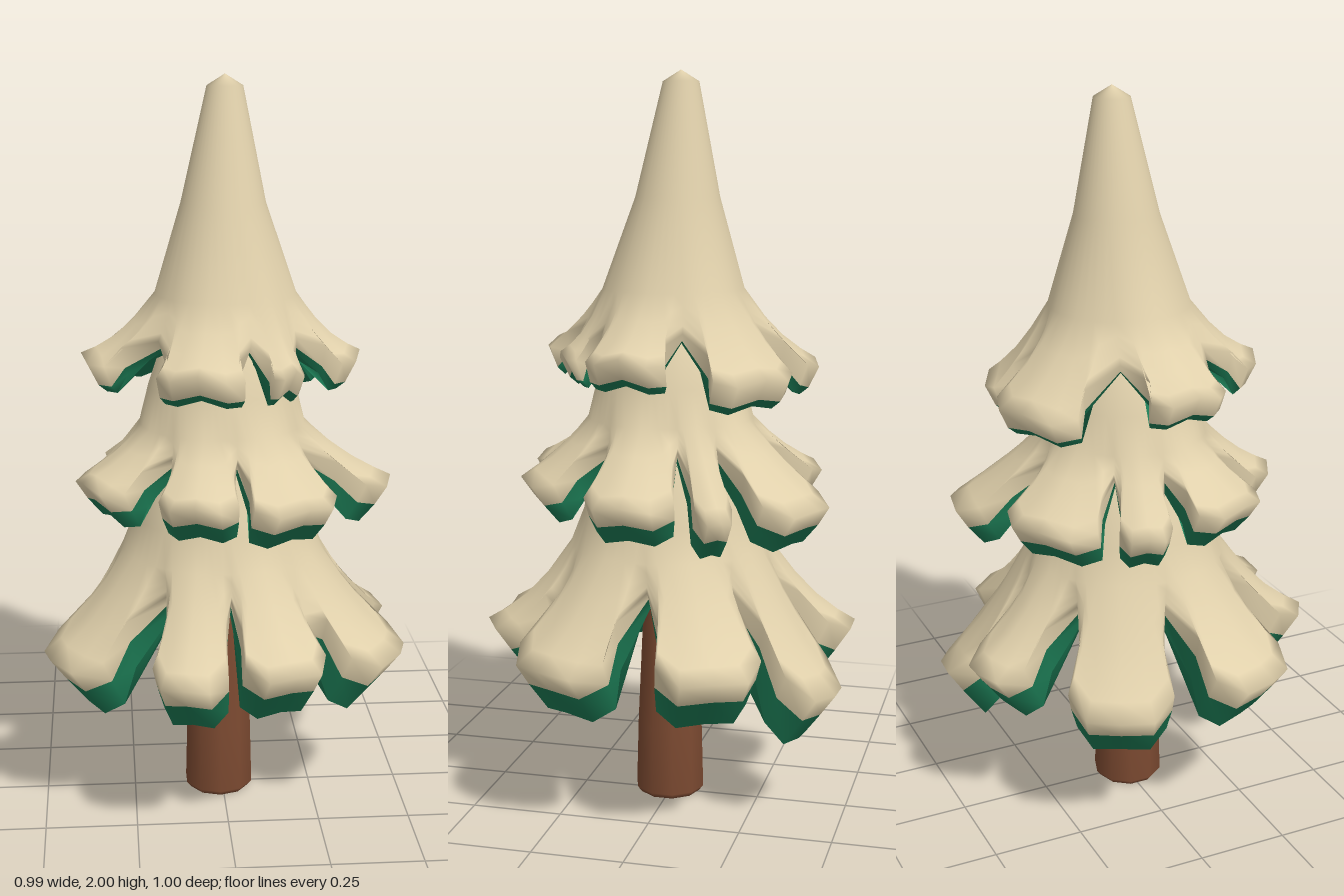
import * as THREE from 'three';

const snow = new THREE.MeshStandardMaterial({ name: 'snow', color: 0xe0d0ab });
const needles = new THREE.MeshStandardMaterial({ name: 'needle green', color: 0x1c7a54 });
const bark = new THREE.MeshStandardMaterial({ name: 'bark brown', color: 0x7c4a31 });
const rad = THREE.MathUtils.degToRad;
const polar = (r, a, y, x = 0, z = 0) => new THREE.Vector3(x + r * Math.cos(a), y, z + r * Math.sin(a));

// Closed skin through rings of points, ordered from top to bottom
function skin(name, rings, material) {
  const n = rings[0].length, index = [];
  for (let j = 0; j < rings.length - 1; j++) {
    for (let i = 0; i < n; i++) {
      const a = j * n + i, b = j * n + (i + 1) % n;
      index.push(a, b, a + n, b, b + n, a + n);
    }
  }
  const geometry = new THREE.BufferGeometry().setFromPoints(rings.flat());
  geometry.setIndex(index);
  geometry.computeVertexNormals();
  const mesh = new THREE.Mesh(geometry, material);
  mesh.name = name;
  return mesh;
}

// Half outline of a bough: [sideways share of width, share of reach]
const side = [[0.8, 0.35], [1, 0.66], [0.64, 0.92]];
const outline = [...side.map(([s, f]) => [-s, f]), [0, 1], ...side.map(([s, f]) => [s, f]).reverse()];

// One layer of boughs. neck: [r, y, x, z] rings; sag: hollow of the slope
// boughs: [angle, reach, tip y, half width, optional own [r, y] of the gap after it]
function makeTier(name, { neck, boughs, notch, inner, snowRim, greenRim, sag }) {
  const neckAngles = [], edge = [], snowEdge = [], greenEdge = [], share = [];
  const rn = notch[0], count = boughs.length;
  // Angle of the gap after bough i, nearer to the narrower bough
  const gapAfter = (i) => {
    const a = boughs[(i + count) % count], b = boughs[(i + 1) % count];
    const step = (b[0] - a[0] + 360) % 360;
    return rad(a[0] + step * (a[3] + 0.08) / (a[3] + b[3] + 0.16));
  };
  const last = neck[neck.length - 1];

  boughs.forEach(([deg, reach, tipY, width], i) => {
    const a = rad(deg), next = gapAfter(i);
    let start = gapAfter(i - 1);
    while (start > a) start -= Math.PI * 2;

    // Gap column, with a thinner rim
    const [gr, gy] = boughs[(i + count - 1) % count][4] ?? notch;
    neckAngles.push(start);
    share.push(0);
    edge.push(polar(gr, start, gy));
    snowEdge.push(polar(gr - snowRim[0] * 0.4, start, gy - snowRim[1] * 0.35));
    greenEdge.push(polar(gr - greenRim[0] * 0.4, start, gy - greenRim[1] * 0.35));

    outline.forEach(([s, f], k) => {
      neckAngles.push(THREE.MathUtils.lerp(start, next, (k + 1) / (outline.length + 1)));
      share.push(f);
      const r = rn + (reach - rn) * f;
      const slope = last[1] + (tipY - last[1]) * (r - last[0]) / (reach - last[0]);
      const y = slope - sag * Math.sin(Math.PI * f) - 0.035 * Math.abs(s);
      const at = (inset, drop, squeeze) => {
        const out = r - inset * f, lat = s * width * squeeze;
        return new THREE.Vector3(
          out * Math.cos(a) - lat * Math.sin(a), y - drop, out * Math.sin(a) + lat * Math.cos(a));
      };
      edge.push(at(0, 0, 1));
      snowEdge.push(at(...snowRim, 0.96));
      greenEdge.push(at(...greenRim, 0.86));
    });
  });

  const rings = neck.map(([r, y, x, z]) => neckAngles.map((a) => polar(r, a, y, x, z)));
  const base = rings[rings.length - 1];
  for (const t of [0.3, 0.55, 0.8, 1]) {
    rings.push(edge.map((p, i) => {
      const q = base[i].clone().lerp(p, t);
      q.y -= sag * share[i] * Math.sin(Math.PI * t);
      return q;
    }));
  }
  const innerRing = neckAngles.map((a) => polar(inner[0], a, inner[1]));
  const middle = greenEdge.map((p, i) => {
    const q = p.clone().lerp(innerRing[i], 0.5);
    q.y += 0.02;
    return q;
  });
  const tier = new THREE.Group();
  tier.name = name;
  tier.add(
    skin('snowCap', [...rings, snowEdge], snow),
    skin('greenRim', [snowEdge, greenEdge], needles),
    skin('greenUnderside', [greenEdge, middle, innerRing], needles));
  return tier;
}

export function createModel() {
  const tree = new THREE.Group();
  tree.name = 'snowyPine';

  // Tapered trunk with a chamfered foot
  const profile = [[0, 0], [0.085, 0], [0.097, 0.015], [0.092, 0.2], [0.078, 0.5], [0.06, 0.75]];
  const trunk = new THREE.Mesh(
    new THREE.LatheGeometry(profile.map(([x, y]) => new THREE.Vector2(x, y)), 10), bark);
  trunk.name = 'trunk';
  trunk.position.set(-0.01, 0, 0.005);
  tree.add(trunk);

  tree.add(makeTier('lowerBoughs', {
    neck: [[0.12, 1.08], [0.2, 0.98], [0.24, 0.82], [0.275, 0.73]],
    boughs: [
      [27, 0.525, 0.48, 0.15, [0.33, 0.57]], [71, 0.505, 0.52, 0.115], [105, 0.515, 0.5, 0.1],
      [155, 0.525, 0.48, 0.14], [206, 0.48, 0.43, 0.14], [255, 0.515, 0.5, 0.1],
      [290, 0.525, 0.38, 0.11], [333, 0.515, 0.48, 0.14],
    ],
    notch: [0.265, 0.65], inner: [0.05, 0.66], snowRim: [0.045, 0.06], greenRim: [0.11, 0.14], sag: 0.03,
  }));

  tree.add(makeTier('middleBoughs', {
    neck: [[0.1, 1.38], [0.16, 1.3], [0.2, 1.18], [0.225, 1.08]],
    boughs: [
      [2, 0.465, 0.92, 0.12], [61, 0.415, 0.93, 0.13], [104, 0.405, 0.95, 0.105], [155, 0.42, 0.96, 0.12],
      [195, 0.385, 0.91, 0.07], [236, 0.43, 0.93, 0.14], [293, 0.48, 0.88, 0.13], [328, 0.42, 0.87, 0.05],
    ],
    notch: [0.23, 1.02], inner: [0.14, 1.0], snowRim: [0.035, 0.05], greenRim: [0.08, 0.1], sag: 0.015,
  }));

  tree.add(makeTier('crown', {
    neck: [[0, 2, 0.01, -0.03], [0.048, 1.97, 0.01, -0.03], [0.113, 1.67, 0.005, -0.02], [0.19, 1.43, 0.01, -0.01]],
    boughs: [
      [7, 0.37, 1.28, 0.11], [56, 0.31, 1.27, 0.05], [104, 0.355, 1.28, 0.115],
      [175, 0.38, 1.28, 0.11], [245, 0.405, 1.23, 0.14], [305, 0.375, 1.22, 0.14],
    ],
    notch: [0.23, 1.33], inner: [0.12, 1.3], snowRim: [0.03, 0.055], greenRim: [0.055, 0.075], sag: 0.025,
  }));
  return tree;
}
